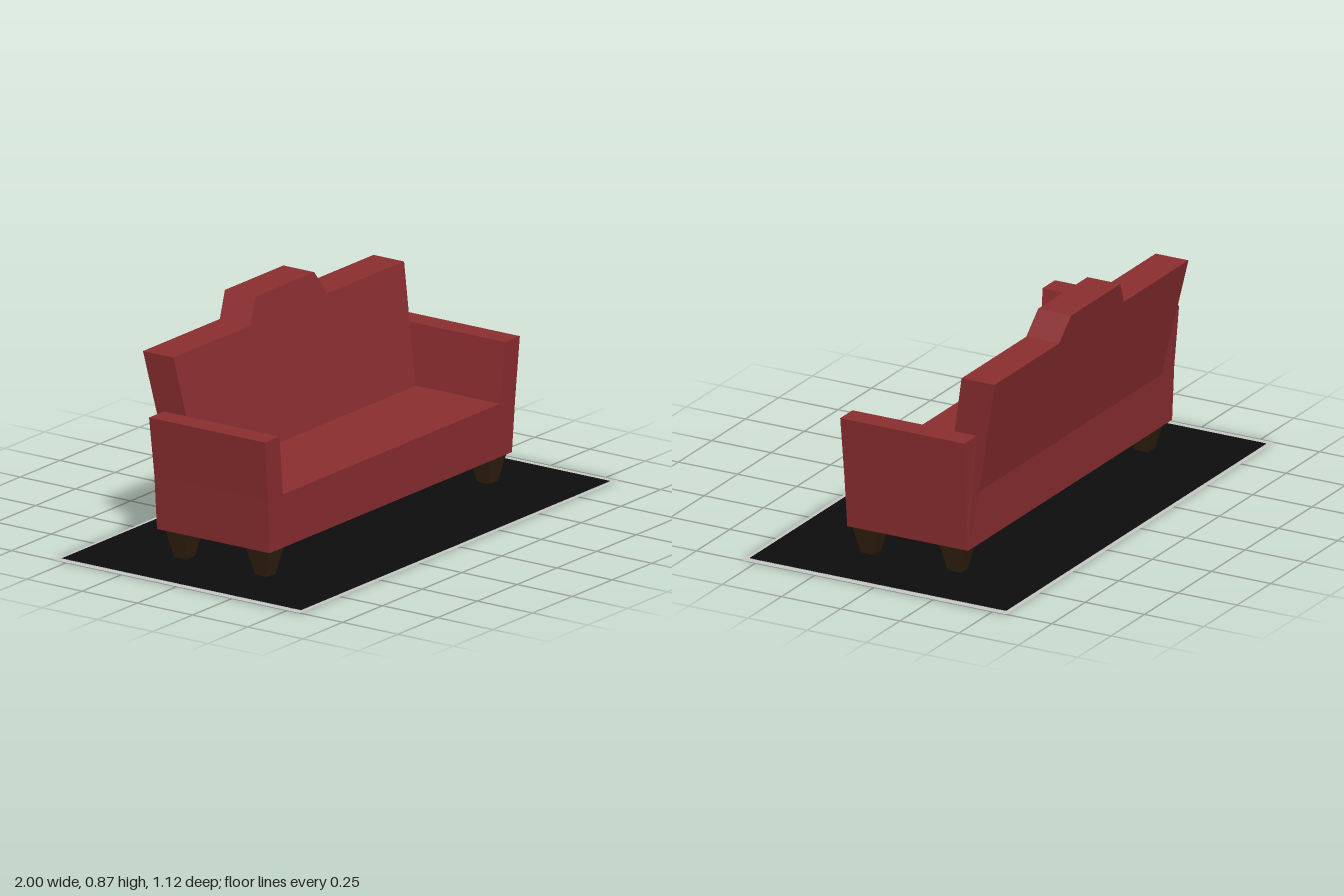
import * as THREE from 'three';

const mat = (name, color, extra = {}) => {
  const m = new THREE.MeshStandardMaterial({ color, ...extra });
  m.name = name;
  return m;
};

// Symmetric outline from its right half, listed bottom to top
function mirroredShape(half) {
  const left = half.map(([x, y]) => [-x, y]).reverse();
  return new THREE.Shape([...half, ...left].map(([x, y]) => new THREE.Vector2(x, y)));
}

// Extrude an outline, then place front and back faces by height
function slab(shape, frontZ, backZ) {
  const g = new THREE.ExtrudeGeometry(shape, { depth: 1, bevelEnabled: false });
  const p = g.attributes.position;
  for (let i = 0; i < p.count; i++) {
    const y = p.getY(i);
    p.setZ(i, THREE.MathUtils.lerp(backZ(y), frontZ(y), p.getZ(i)));
  }
  g.computeVertexNormals();
  return g;
}

export function createModel() {
  const model = new THREE.Group();
  model.name = 'sofaOnRug';
  const red = mat('red upholstery', 0x8c2e30);
  const brown = mat('dark wood', 0x33210f);
  const black = mat('black rug', 0x0d0d0d, { side: THREE.DoubleSide });
  const grey = mat('pale rug border', 0xc8c8c6, { side: THREE.DoubleSide });
  const add = (name, geometry, material) => {
    const mesh = new THREE.Mesh(geometry, material);
    mesh.name = name;
    model.add(mesh);
    return mesh;
  };

  // Seat and flared arms in one U-shaped body
  const body = mirroredShape([
    [0.762, 0.113], [0.778, 0.32], [0.802, 0.551], [0.71, 0.551], [0.682, 0.32],
  ]);
  add('seatAndArms', slab(body,
    y => 0.248 + (y - 0.113) * 0.016,
    y => -0.262 - Math.max(0, y - 0.32) * 0.03), red);

  // Leaning backrest with a raised centre
  const back = mirroredShape([
    [0.681, 0.32], [0.725, 0.772], [0.242, 0.772], [0.184, 0.866],
  ]);
  add('backrest', slab(back,
    y => -0.13 - (y - 0.32) * 0.185,
    y => -0.263 - (y - 0.32) * 0.197), red);

  // Tapered square feet
  const foot = new THREE.BoxGeometry(1, 0.108, 1);
  const p = foot.attributes.position;
  for (let i = 0; i < p.count; i++) {
    const w = p.getY(i) > 0 ? 0.102 : 0.054;
    p.setX(i, p.getX(i) * w);
    p.setZ(i, p.getZ(i) * w);
  }
  const flatFoot = foot.toNonIndexed();
  flatFoot.computeVertexNormals();
  for (const x of [-1, 1]) {
    for (const z of [-1, 1]) {
      add((z > 0 ? 'front' : 'back') + (x > 0 ? 'Left' : 'Right') + 'Foot', flatFoot, brown)
        .position.set(x * 0.699, 0.059, z * 0.183);
    }
  }

  // Flat rug with a narrow border
  const rect = (Type, w, h) => new Type([[-w, -h], [w, -h], [w, h], [-w, h]]
    .map(([x, y]) => new THREE.Vector2(x, y)));
  const border = rect(THREE.Shape, 1, 0.558);
  border.holes.push(rect(THREE.Path, 0.973, 0.542));
  add('rugBorder', new THREE.ShapeGeometry(border).rotateX(-Math.PI / 2), grey);
  add('rug', new THREE.PlaneGeometry(1.946, 1.084).rotateX(-Math.PI / 2), black).position.y = 0.002;

  return model;
}
